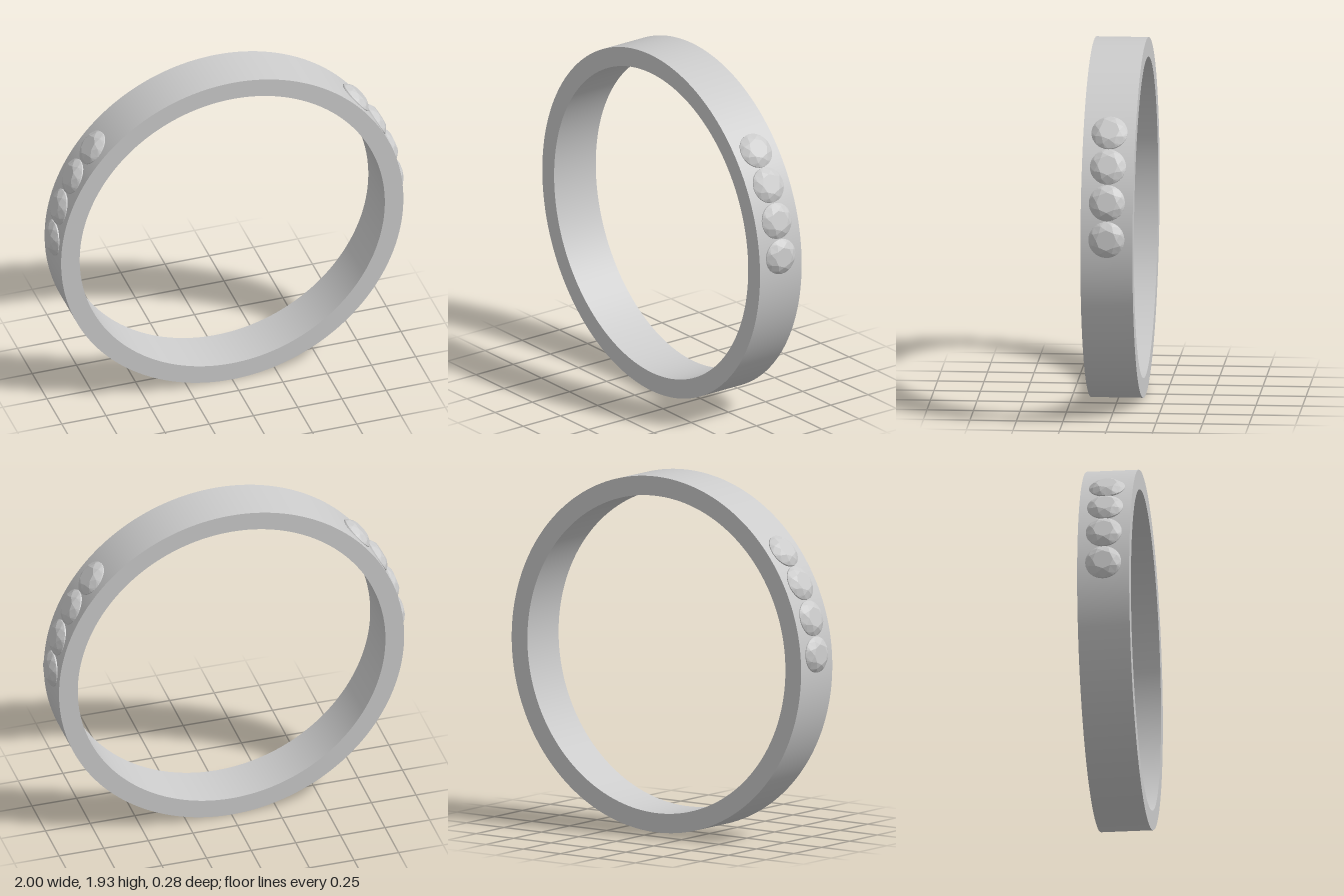
import * as THREE from 'three';
import { toCreasedNormals } from 'three/addons/utils/BufferGeometryUtils.js';

const OUTER = 0.967, INNER = 0.862, WIDTH = 0.28;
const GEM_R = 0.097;

// Flat hoop with a rectangular section
function bandGeometry() {
  const shape = new THREE.Shape().absarc(0, 0, OUTER, 0, Math.PI * 2, false);
  shape.holes.push(new THREE.Path().absarc(0, 0, INNER, 0, Math.PI * 2, true));
  const geo = new THREE.ExtrudeGeometry(shape, { depth: WIDTH, bevelEnabled: false, curveSegments: 128 });
  geo.translate(0, 0, -WIDTH / 2);
  return toCreasedNormals(geo, 0.5);
}

// Round brilliant cut, axis along +y, girdle at y = 0
function gemGeometry() {
  const pos = [];
  const pt = (r, h, turn) => {
    const a = turn * Math.PI / 4; // turn counts eighths of a circle
    return [r * Math.cos(a), h, -r * Math.sin(a)];
  };
  const tri = (...corners) => corners.forEach((c) => pos.push(...c));
  const table = (k) => pt(0.055, 0.033, k);
  const mid = (k) => pt(0.08, 0.0205, k + 0.5);
  const girdleTop = (k) => pt(GEM_R, 0.004, k);
  const girdleLow = (k) => pt(GEM_R, -0.004, k);
  for (let k = 0; k < 8; k++) {
    tri([0, 0.033, 0], table(k), table(k + 1));          // table
    tri(table(k), mid(k), table(k + 1));                 // star facet
    tri(table(k), mid(k - 1), girdleTop(k));             // kite facet
    tri(table(k), girdleTop(k), mid(k));
    for (let s = 0; s < 4; s++) {
      const a = k + s / 4, b = a + 0.25;
      tri(mid(k), girdleTop(a), girdleTop(b));           // upper girdle facets
      tri(girdleTop(a), girdleLow(a), girdleLow(b));     // girdle
      tri(girdleTop(a), girdleLow(b), girdleTop(b));
      tri([0, -0.08, 0], girdleLow(b), girdleLow(a));    // pavilion
    }
  }
  const geo = new THREE.BufferGeometry();
  geo.setAttribute('position', new THREE.Float32BufferAttribute(pos, 3));
  geo.computeVertexNormals();
  return geo;
}

export function createModel() {
  const model = new THREE.Group();
  model.name = 'ring';
  const metal = new THREE.MeshStandardMaterial({ color: 0xcccccc });
  const stone = new THREE.MeshStandardMaterial({ color: 0xcccccc, flatShading: true });

  const band = new THREE.Mesh(bandGeometry(), metal);
  band.name = 'band';
  band.position.y = OUTER;
  model.add(band);

  // Four stones set along each shoulder
  const gemGeo = gemGeometry();
  for (const side of [1, -1]) {
    const row = new THREE.Group();
    row.name = side > 0 ? 'leftStones' : 'rightStones';
    row.position.y = OUTER;
    for (let i = 0; i < 4; i++) {
      const angle = THREE.MathUtils.degToRad(4.6 + 11.7 * i);
      const gem = new THREE.Mesh(gemGeo, stone);
      gem.name = 'stone' + (i + 1);
      gem.position.set(side * OUTER * Math.cos(angle), OUTER * Math.sin(angle), 0);
      gem.rotation.z = side * (angle - Math.PI / 2);
      row.add(gem);
    }
    model.add(row);
  }
  return model;
}
